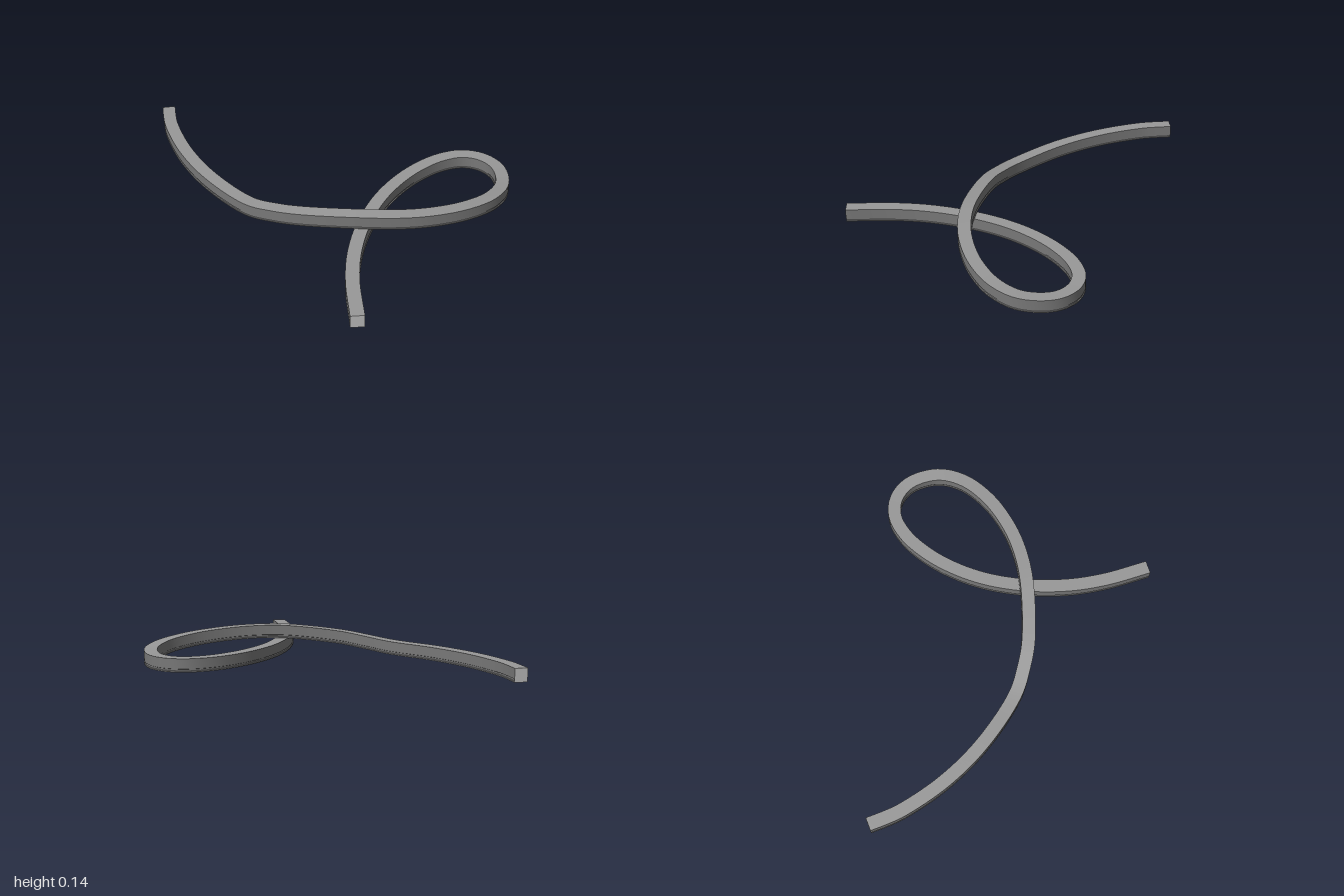
import * as THREE from 'three';

// centre line: x, height of the underside, z
const PATH = [
  [-0.614, 0, -0.987], [-0.643, 0, -0.9], [-0.664, 0, -0.82], [-0.687, 0, -0.57],
  [-0.662, 0, -0.3], [-0.574, 0.003, -0.005], [-0.497, 0.022, 0.118], [-0.405, 0.043, 0.228],
  [-0.16, 0.07, 0.425], [0, 0.069, 0.512],
  [0.15, 0.061, 0.56], [0.33, 0.047, 0.58], [0.5, 0.029, 0.552], [0.62, 0.013, 0.472],
  [0.681, 0.003, 0.33], [0.657, 0, 0.22], [0.58, 0, 0.148], [0.455, 0, 0.123],
  [0.3, 0, 0.145], [0.15, 0, 0.2], [0, 0, 0.287], [-0.16, 0, 0.425],
  [-0.3, 0, 0.594], [-0.4, 0, 0.765], [-0.492, 0, 0.984],
];

// square section with a fine groove low on each side, counter-clockwise
const W = 0.034, H = 0.07, G = 0.03;
const RIGHT = [[W, 0], [W, 0.006], [G, 0.008], [G, 0.016], [W, 0.018], [W, H]];
const PROFILE = [...RIGHT, ...RIGHT.map(([s, y]) => [-s, y]).reverse()];
const TOP = RIGHT.length - 1;
const STEPS = 160;

// one strip per profile side: smooth lengthwise, sharp at the edges
function sweep(rings, sides) {
  const positions = [], index = [];
  sides.forEach((k) => {
    const next = (k + 1) % PROFILE.length;
    const base = positions.length / 3;
    rings.forEach((ring, i) => {
      positions.push(...ring[k], ...ring[next]);
      if (i === STEPS) return;
      const a = base + i * 2;
      index.push(a, a + 2, a + 1, a + 1, a + 2, a + 3);
    });
  });
  const geometry = new THREE.BufferGeometry();
  geometry.setAttribute('position', new THREE.Float32BufferAttribute(positions, 3));
  geometry.setIndex(index);
  geometry.computeVertexNormals();
  return geometry;
}

export function createModel() {
  const group = new THREE.Group();
  const add = (name, geometry, color) => {
    const mesh = new THREE.Mesh(geometry, new THREE.MeshStandardMaterial({ color }));
    mesh.name = name;
    group.add(mesh);
    return mesh;
  };
  const curve = new THREE.CatmullRomCurve3(PATH.map((p) => new THREE.Vector3(...p)));

  // upright rings along the path
  const rings = [];
  for (let i = 0; i <= STEPS; i++) {
    const p = curve.getPointAt(i / STEPS);
    const t = curve.getTangentAt(i / STEPS).setY(0).normalize();
    rings.push(PROFILE.map(([s, y]) => [p.x - t.z * s, p.y + y, p.z + t.x * s]));
  }

  // lighter top face over the darker sides and underside
  add('beamTop', sweep(rings, [TOP]), 0x989898);
  add('beamBody', sweep(rings, [...PROFILE.keys()].filter((k) => k !== TOP)), 0x787878);

  // flat square end faces
  [0, 1].forEach((u) => {
    const p = curve.getPointAt(u);
    const t = curve.getTangentAt(u).setY(0).multiplyScalar(u ? 1 : -1);
    const cap = add(u ? 'frontEnd' : 'backEnd', new THREE.PlaneGeometry(2 * W, H), 0xb8b8b8);
    cap.position.set(p.x, p.y + H / 2, p.z);
    cap.rotation.y = Math.atan2(t.x, t.z);
  });
  return group;
}
